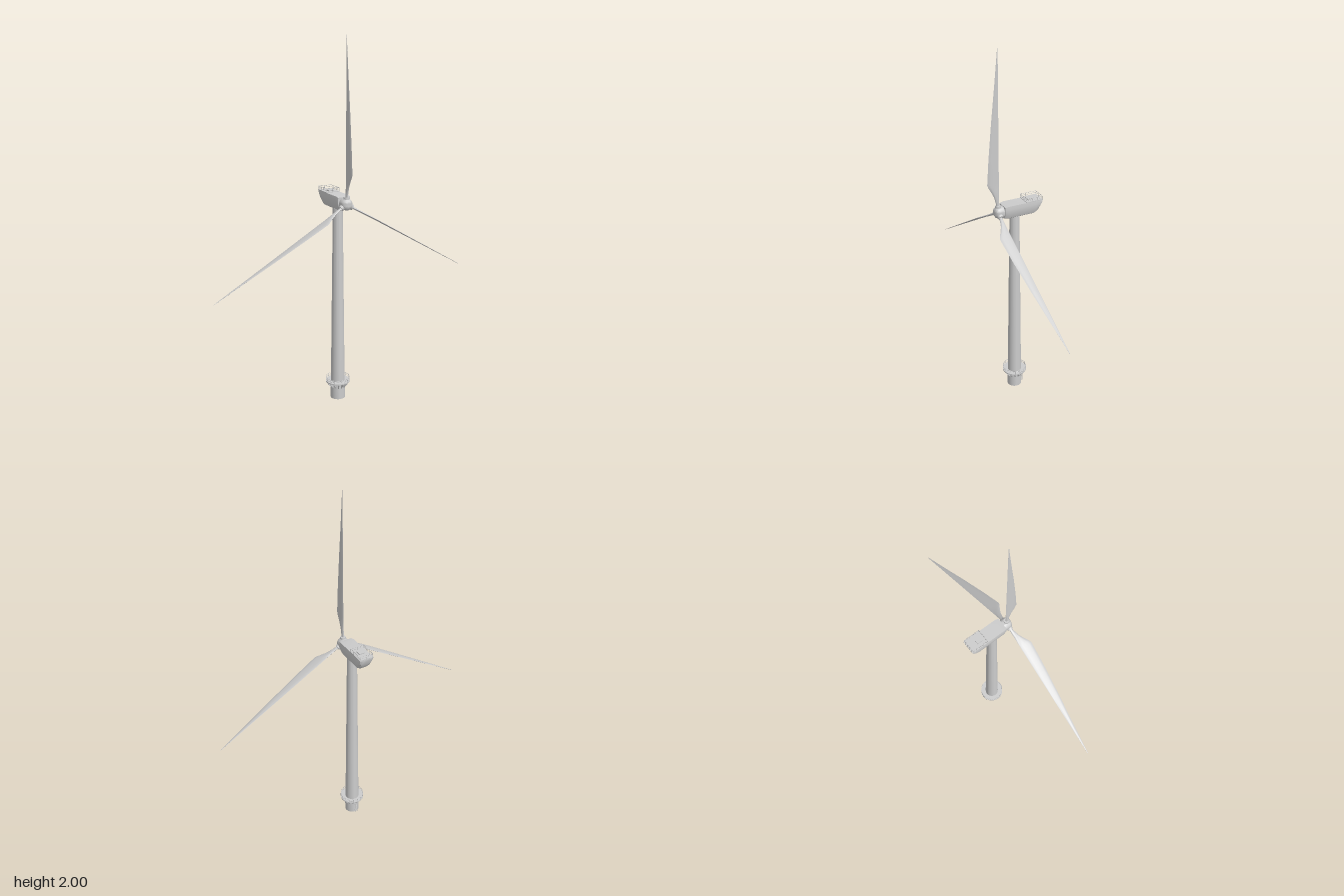
import * as THREE from 'three';
import { toCreasedNormals } from 'three/addons/utils/BufferGeometryUtils.js';

const grey = new THREE.MeshStandardMaterial({ color: 0xcccccc, side: THREE.DoubleSide });
const HUB_Y = 1.136, TOWER_Z = -0.003;

function add(parent, name, geometry, x = 0, y = 0, z = 0) {
  const mesh = new THREE.Mesh(geometry, grey);
  mesh.name = name;
  mesh.position.set(x, y, z);
  parent.add(mesh);
  return mesh;
}

function group(parent, name, x = 0, y = 0, z = 0) {
  const g = new THREE.Group();
  g.name = name;
  g.position.set(x, y, z);
  parent.add(g);
  return g;
}

// Skin over equal rings of points, capped at both ends
function loft(rings, crease) {
  const n = rings[0].length, last = (rings.length - 1) * n;
  const pos = rings.flat(2), index = [];
  for (let i = 0; i < rings.length - 1; i++) {
    for (let j = 0; j < n; j++) {
      const a = i * n + j, b = i * n + (j + 1) % n;
      index.push(a, b, b + n, a, b + n, a + n);
    }
  }
  for (let j = 1; j < n - 1; j++) {
    index.push(0, j + 1, j, last, last + j, last + j + 1);
  }
  const g = new THREE.BufferGeometry();
  g.setAttribute('position', new THREE.Float32BufferAttribute(pos, 3));
  g.setIndex(index);
  return toCreasedNormals(g, crease);
}

function lathe(points, segments = 32) {
  const g = new THREE.LatheGeometry(points.map(p => new THREE.Vector2(...p)), segments);
  return toCreasedNormals(g, 0.6);
}

// Thin round bar between two points
function bar(parent, name, a, b, r = 0.0012) {
  const p = new THREE.Vector3(...a), q = new THREE.Vector3(...b);
  const mesh = add(parent, name, new THREE.CylinderGeometry(r, r, p.distanceTo(q), 6));
  mesh.position.copy(p).lerp(q, 0.5);
  mesh.quaternion.setFromUnitVectors(new THREE.Vector3(0, 1, 0), q.sub(p).normalize());
}

// Posts with two rails through a closed loop of [x, z] points
function railing(parent, name, points, y, height) {
  const g = group(parent, name);
  points.forEach(([x, z], i) => {
    const [x2, z2] = points[(i + 1) % points.length];
    bar(g, 'post', [x, y, z], [x, y + height, z]);
    for (const h of [0.5, 1]) bar(g, 'rail', [x, y + height * h, z], [x2, y + height * h, z2]);
  });
}

function buildTower(model) {
  const tower = group(model, 'tower', 0, 0, TOWER_Z);
  add(tower, 'towerShaft', lathe([
    [0, 0], [0.041, 0], [0.041, 0.1], [0.039, 0.1], [0.027, 1.1], [0, 1.1]]));

  // Service platform with brackets and railing
  add(tower, 'platformDeck', new THREE.CylinderGeometry(0.068, 0.068, 0.006, 32), 0, 0.1, 0);
  const gusset = new THREE.Shape([[0.038, 0.066], [0.045, 0.066], [0.065, 0.092], [0.065, 0.098], [0.038, 0.098]]
    .map(p => new THREE.Vector2(...p)));
  const bracket = new THREE.ExtrudeGeometry(gusset, { depth: 0.004, bevelEnabled: false });
  bracket.translate(0, 0, -0.002);
  const posts = [];
  for (let i = 0; i < 16; i++) {
    const a = i / 16 * Math.PI * 2;
    add(tower, 'platformBracket', bracket).rotation.y = a;
    posts.push([Math.cos(a) * 0.067, Math.sin(a) * 0.067]);
  }
  railing(tower, 'platformRailing', posts, 0.102, 0.02);

  // Access ladder at the back of the base
  const ladder = group(tower, 'ladder', 0, 0, -0.049);
  for (const x of [-0.007, 0.007]) {
    bar(ladder, 'ladderRail', [x, 0.002, 0], [x, 0.1, 0], 0.0015);
    for (const y of [0.02, 0.06]) bar(ladder, 'ladderMount', [x, y, 0], [x, y, 0.012]);
  }
  for (let i = 1; i < 11; i++) bar(ladder, 'rung', [-0.007, i * 0.009, 0], [0.007, i * 0.009, 0], 0.0009);
}

function buildNacelle(model) {
  const nacelle = group(model, 'nacelle');
  // Half section: x and height from bottom (0) to top (1)
  const half = [[0.018, 0], [0.03, 0.1], [0.039, 0.4], [0.041, 0.75], [0.039, 1]];
  const section = [...half, ...half.map(([x, v]) => [-x, v]).reverse()];
  // Stations: z, bottom, top, width scale
  const stations = [
    [-0.154, 1.167, 1.174, 0.96], [-0.147, 1.14, 1.174, 0.98], [-0.132, 1.115, 1.174, 1],
    [-0.118, 1.102, 1.174, 1], [-0.105, 1.096, 1.174, 1], [0.045, 1.096, 1.174, 1], [0.068, 1.101, 1.17, 0.9]];
  add(nacelle, 'nacelleBody', loft(stations.map(([z, b, t, w]) =>
    section.map(([x, v]) => [x * w, b + (t - b) * v, z])), 0.45));

  // Rear roof deck
  add(nacelle, 'roofDeck', new THREE.BoxGeometry(0.08, 0.004, 0.097), 0, 1.175, -0.105);
  add(nacelle, 'roofHatch', new THREE.BoxGeometry(0.03, 0.008, 0.03), 0, 1.179, -0.09);
  const loop = [];
  for (let i = 0; i < 4; i++) loop.push([0.038, -0.058 - i * 0.031]);
  loop.push([0, -0.151]);
  for (let i = 3; i >= 0; i--) loop.push([-0.038, -0.058 - i * 0.031]);
  loop.push([0, -0.058]);
  railing(nacelle, 'roofRailing', loop, 1.176, 0.02);
}

function buildRotor(model) {
  const rotor = group(model, 'rotor', 0, HUB_Y, 0);
  const hub = lathe([[0, 0.06], [0.028, 0.06], [0.032, 0.07], [0.032, 0.1],
    [0.028, 0.109], [0.018, 0.116], [0.008, 0.119], [0, 0.12]], 24);
  hub.rotateX(Math.PI / 2);
  add(rotor, 'hub', hub);

  // Blade stations: radius, front edge z, thickness; the back edge is straight
  const back = 0.088;
  const stations = [[0.02, 0.105, 0.014], [0.05, 0.106, 0.012], [0.09, 0.117, 0.011], [0.125, 0.135, 0.009],
    [0.15, 0.15, 0.008], [0.165, 0.155, 0.008], [0.3, 0.146, 0.007], [0.5, 0.128, 0.005],
    [0.7, 0.107, 0.0035], [0.865, 0.091, 0.002]];
  const blade = loft(stations.map(([r, front, thick]) => Array.from({ length: 12 }, (_, j) => {
    const a = j / 12 * Math.PI * 2;
    return [Math.sin(a) * thick / 2, r, (front + back) / 2 + Math.cos(a) * (front - back) / 2];
  })), 0.9);

  for (let i = 0; i < 3; i++) {
    const arm = group(rotor, 'bladeArm');
    arm.rotation.z = i * Math.PI * 2 / 3;
    add(arm, 'bladeCollar', new THREE.CylinderGeometry(0.015, 0.018, 0.03, 16), 0, 0.024, 0.094);
    add(arm, 'blade', blade);
  }
}

export function createModel() {
  const model = new THREE.Group();
  model.name = 'windTurbine';
  buildTower(model);
  buildNacelle(model);
  buildRotor(model);
  return model;
}
